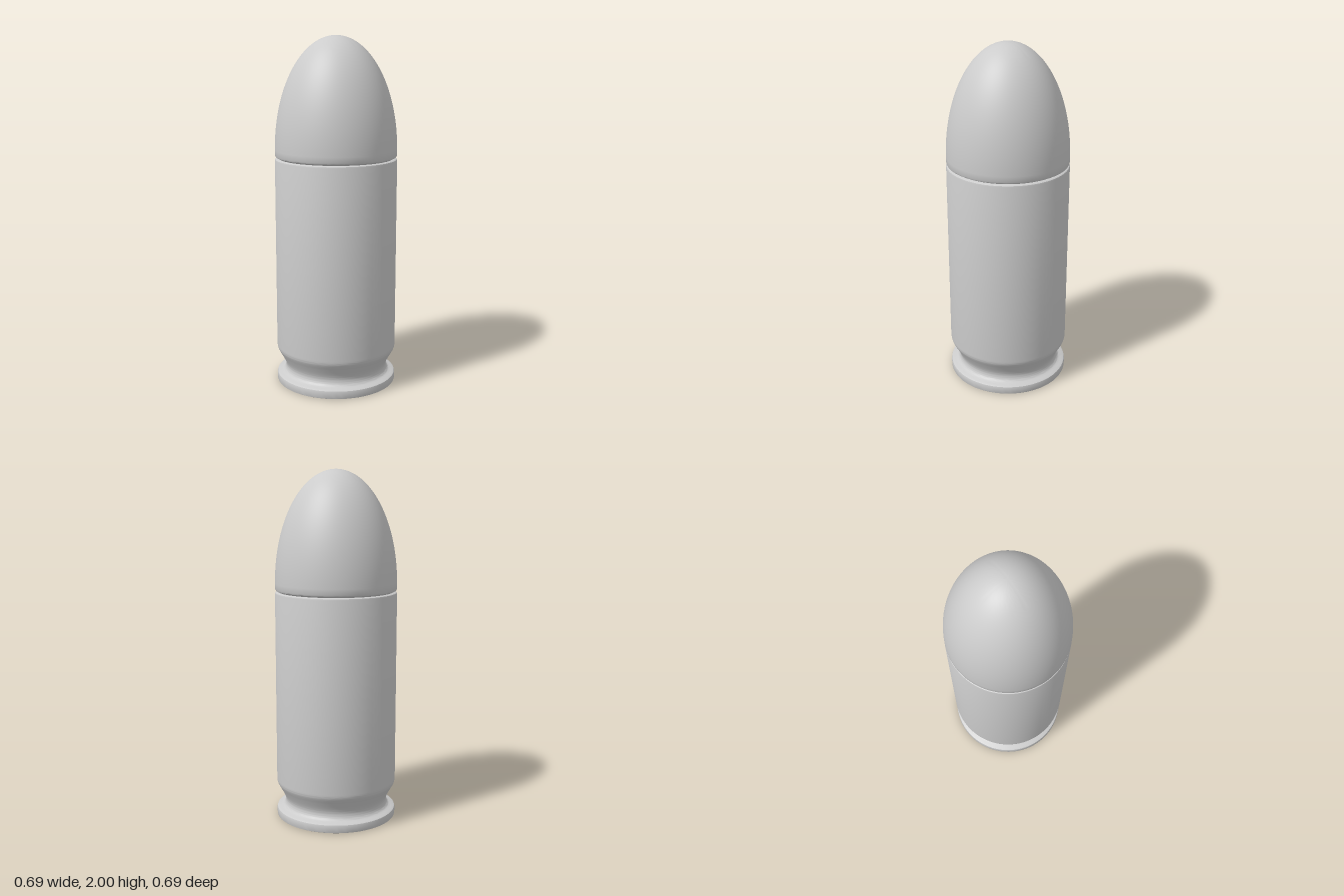
import * as THREE from 'three';
import { toCreasedNormals } from 'three/addons/utils/BufferGeometryUtils.js';

const R = 0.347;
const SEGMENTS = 96;

// Revolve a profile of [radius, height] pairs, listed from bottom to top
function turned(name, profile) {
  const points = profile.map(([r, y]) => new THREE.Vector2(r, y));
  const geometry = toCreasedNormals(new THREE.LatheGeometry(points, SEGMENTS), 0.6);
  const mesh = new THREE.Mesh(geometry, new THREE.MeshStandardMaterial({ color: 0xcccccc }));
  mesh.name = name;
  return mesh;
}

// Smooth run of profile points through a few guide points
function smooth(guides, count) {
  const curve = new THREE.SplineCurve(guides.map(([r, y]) => new THREE.Vector2(r, y)));
  return curve.getPoints(count).map((p) => [p.x, p.y]);
}

export function createModel() {
  const group = new THREE.Group();
  group.name = 'cartridge';

  // Case: flat base with primer pocket, rim, extractor groove, straight wall, rounded mouth
  group.add(turned('case', [
    [0.155, 0.02], [0.166, 0.02], [0.166, 0.004], [0.17, 0],
    [0.339, 0], [0.345, 0.003], [R, 0.009],
    [R, 0.04], [0.345, 0.047], [0.338, 0.051],
    ...smooth([[0.325, 0.054], [0.308, 0.062], [0.298, 0.078], [0.296, 0.1],
      [0.304, 0.125], [0.322, 0.16], [0.338, 0.188], [0.345, 0.205], [R, 0.222]], 32),
    [R, 1.306], [0.345, 1.313], [0.339, 1.317], [0.32, 1.318],
  ]));

  // Primer: shallow disc set in the base pocket
  group.add(turned('primer', [
    [0, 0.001], [0.154, 0.001], [0.158, 0.004], [0.158, 0.022],
  ]));

  // Bullet: rounded lower edge, short straight shank and elliptical nose
  const shoulder = 1.365;
  const nose = [];
  for (let i = 0; i <= 40; i++) {
    const a = (i / 40) * Math.PI / 2;
    nose.push([Math.max(0, 0.346 * Math.cos(a)), shoulder + (2 - shoulder) * Math.sin(a)]);
  }
  group.add(turned('bullet', [
    [0.32, 1.314], [0.334, 1.322], [0.342, 1.326], [0.346, 1.334], ...nose,
  ]));

  return group;
}
